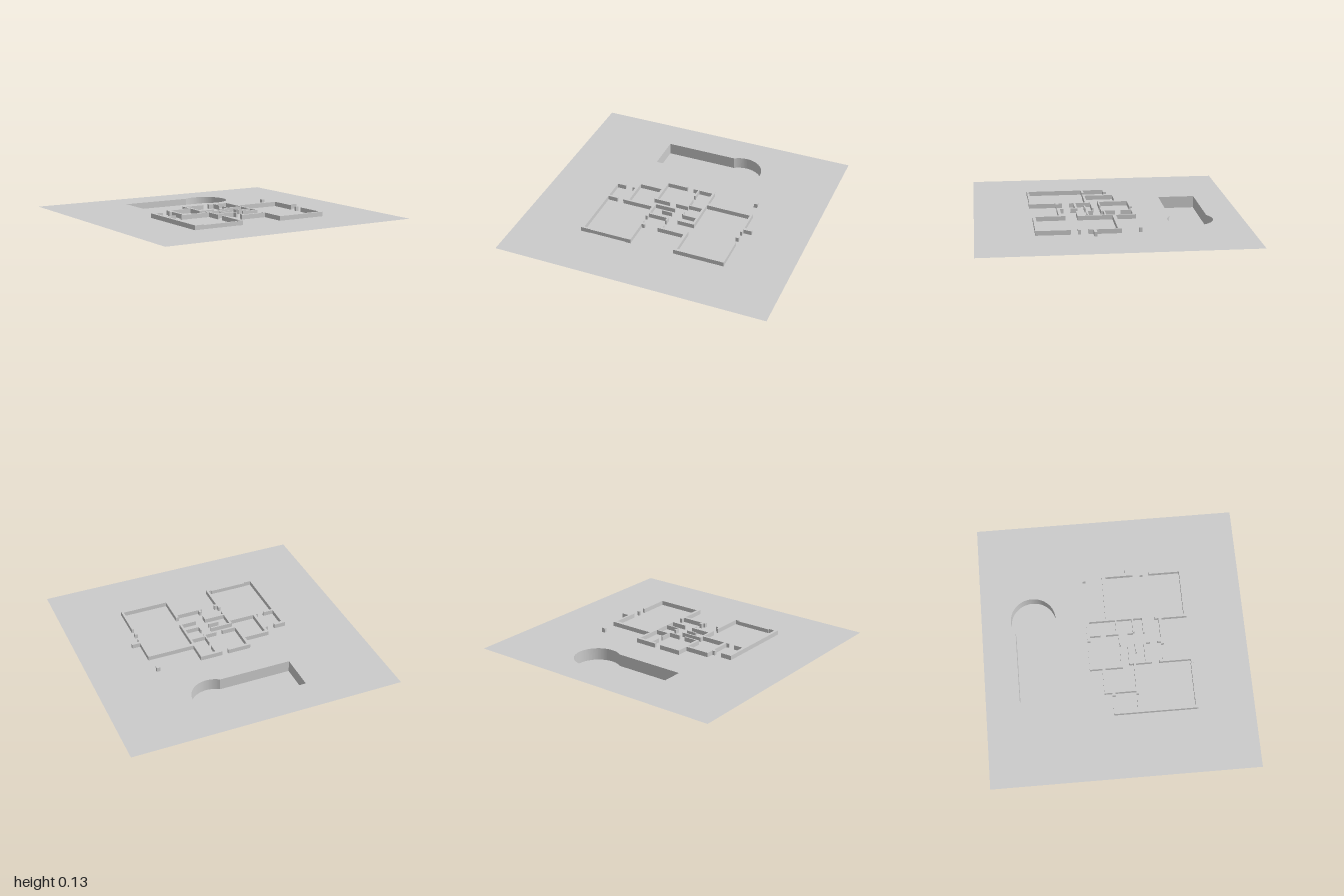
import * as THREE from 'three';

const GROUND = 0.1, WALL_H = 0.033;
const grey = new THREE.MeshStandardMaterial({ color: 0xcccccc });
const greyThin = new THREE.MeshStandardMaterial({ color: 0xcccccc, side: THREE.DoubleSide });

// Plan rectangles: [x0, x1, z0, z1]
const westWing = [
  [-0.535, -0.513, -0.05, 0.555], [-0.513, -0.45, -0.05, -0.027],
  [-0.513, -0.44, 0.123, 0.139], [-0.395, -0.155, 0.123, 0.139],
  [-0.513, -0.465, 0.54, 0.555], [-0.19, -0.15, 0.54, 0.555],
  [-0.166, -0.15, 0.31, 0.54], [-0.15, -0.128, 0.337, 0.358],
  [-0.374, -0.353, -0.107, 0.123], [-0.395, -0.374, -0.05, -0.027],
  [-0.353, -0.187, -0.107, -0.086], [-0.187, -0.166, -0.198, 0.043],
  [-0.166, -0.016, -0.198, -0.176], [-0.166, -0.064, 0.032, 0.043],
];
const eastWing = [
  [0.032, 0.198, -0.198, -0.176], [0.182, 0.198, -0.176, 0.225],
  [0.198, 0.545, -0.053, -0.027], [0.529, 0.545, -0.027, 0.176],
  [0.545, 0.604, 0.123, 0.144], [0.529, 0.545, 0.3, 0.545],
  [0.171, 0.529, 0.524, 0.545], [0.171, 0.192, 0.31, 0.524],
  [-0.027, 0.171, 0.337, 0.358], [-0.011, 0.005, 0.31, 0.337],
];
const partitions = [
  [0.07, 0.08, -0.176, -0.1], [0.07, 0.08, -0.059, 0.043],
  [-0.016, 0.07, 0.032, 0.043], [0.08, 0.182, 0.016, 0.027],
  [0.07, 0.08, 0.1, 0.139], [0.08, 0.182, 0.139, 0.15],
  [0.07, 0.182, 0.214, 0.225], [-0.166, -0.15, 0.091, 0.257],
  [-0.15, 0, 0.091, 0.102], [-0.08, 0, 0.144, 0.155],
  [-0.15, 0, 0.209, 0.225], [-0.011, 0, 0.225, 0.257],
];
const posts = [[0.508, 0.535, -0.198, -0.176], [0.524, 0.545, 0.23, 0.251]];
const windowSill = [[-0.465, -0.19, 0.537, 0.552]];

function addWalls(group, name, rects, base = GROUND) {
  const part = new THREE.Group();
  part.name = name;
  for (const [x0, x1, z0, z1] of rects) {
    const wall = new THREE.Mesh(new THREE.BoxGeometry(x1 - x0, WALL_H, z1 - z0), grey);
    wall.position.set((x0 + x1) / 2, base + WALL_H / 2, (z0 + z1) / 2);
    wall.name = name;
    part.add(wall);
  }
  group.add(part);
}

// Keyhole outline: a rectangle running into a round end (shape y = -z)
function keyhole(PathType, left, half, r) {
  const cx = 0.249, cy = 0.583, a = Math.asin(half / r);
  const p = new PathType();
  p.moveTo(left, cy - half);
  p.lineTo(cx - r * Math.cos(a), cy - half);
  p.absarc(cx, cy, r, Math.PI + a, 3 * Math.PI - a, false);
  p.lineTo(left, cy + half);
  p.closePath();
  return p;
}
const innerPool = (PathType) => keyhole(PathType, -0.38, 0.136, 0.165);
const outerPool = () => keyhole(THREE.Shape, -0.39, 0.151, 0.19);

function addFlat(group, name, geometry, y, material) {
  const mesh = new THREE.Mesh(geometry.rotateX(-Math.PI / 2), material);
  mesh.position.y = y;
  mesh.name = name;
  group.add(mesh);
}

export function createModel() {
  const model = new THREE.Group();
  model.name = 'housePlan';

  // Ground sheet with the pool opening
  const ground = new THREE.Shape();
  ground.moveTo(-1, -0.963);
  ground.lineTo(1, -0.963);
  ground.lineTo(1, 0.963);
  ground.lineTo(-1, 0.963);
  ground.closePath();
  ground.holes.push(innerPool(THREE.Path));
  addFlat(model, 'ground', new THREE.ShapeGeometry(ground, 32), GROUND, greyThin);

  // Sunken pool: floor slab and surrounding wall
  const floorT = 0.01;
  addFlat(model, 'poolFloor', new THREE.ExtrudeGeometry(outerPool(),
    { depth: floorT, bevelEnabled: false, curveSegments: 32 }), 0, grey);
  const ring = outerPool();
  ring.holes.push(innerPool(THREE.Path));
  addFlat(model, 'poolWall', new THREE.ExtrudeGeometry(ring,
    { depth: GROUND - floorT - 0.001, bevelEnabled: false, curveSegments: 32 }), floorT, grey);

  // House walls
  addWalls(model, 'westWingWall', westWing);
  addWalls(model, 'eastWingWall', eastWing);
  addWalls(model, 'partition', partitions);
  addWalls(model, 'post', posts);
  addWalls(model, 'windowSill', windowSill, GROUND - 0.004);
  return model;
}
